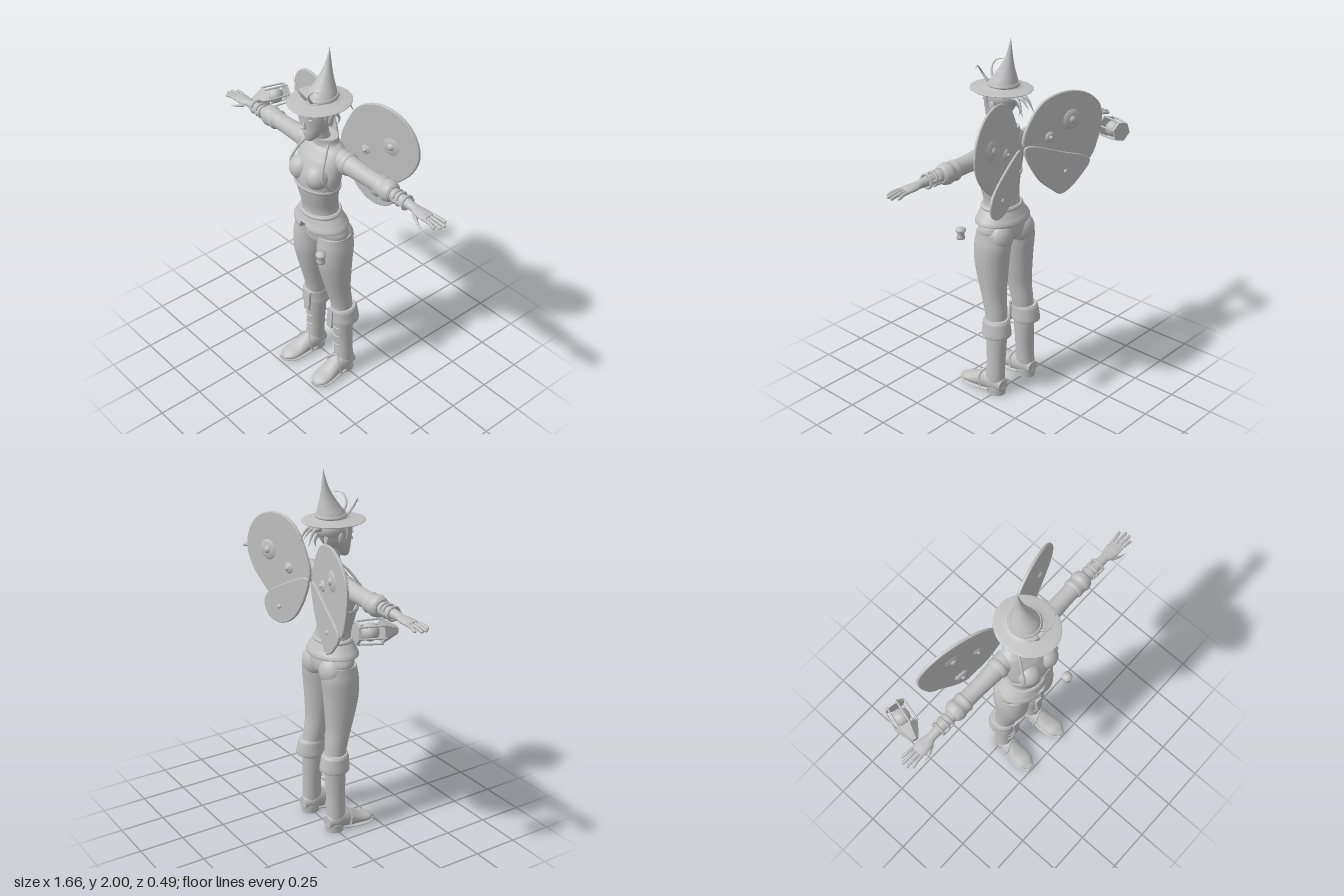
import * as THREE from 'three';

const grey = new THREE.MeshStandardMaterial({ color: 0xc0c0c0 });
grey.name = 'plain grey';
const V = (x, y, z) => new THREE.Vector3(x, y, z);

// Loft of elliptical rings [t, c0, c1, r0, r1] along an axis, smoothed between rings, flat caps
function loft(axis, rings, seg = 28, sub = 4) {
  const n = rings.length, fine = [];
  for (let i = 0; i < n - 1; i++) {
    for (let k = 0; k < sub; k++) {
      const u = k / sub, a = rings[Math.max(i - 1, 0)], b = rings[i], c = rings[i + 1], d = rings[Math.min(i + 2, n - 1)];
      fine.push(b.map((p, j) => j === 0 ? p + (c[0] - p) * u
        : 0.5 * (2 * p + (c[j] - a[j]) * u + (2 * a[j] - 5 * p + 4 * c[j] - d[j]) * u * u + (3 * p - a[j] - 3 * c[j] + d[j]) * u ** 3)));
    }
  }
  fine.push(rings[n - 1]);
  const pos = [], idx = [];
  const put = (t, a, b) => pos.push(...(axis === 'y' ? [a, t, b] : axis === 'x' ? [t, b, a] : [b, a, t]));
  const ring = ([t, c0, c1, r0, r1]) => {
    for (let s = 0; s < seg; s++) {
      const q = s / seg * Math.PI * 2;
      put(t, c0 + r0 * Math.cos(q), c1 + r1 * Math.sin(q));
    }
  };
  fine.forEach(ring);
  for (let i = 0; i < fine.length - 1; i++) for (let s = 0; s < seg; s++) {
    const a = i * seg + s, b = i * seg + (s + 1) % seg;
    idx.push(a, a + seg, b, b, a + seg, b + seg);
  }
  [fine[0], fine[fine.length - 1]].forEach((r, top) => {
    const base = pos.length / 3;
    ring(r);
    put(r[0], r[1], r[2]);
    for (let s = 0; s < seg; s++) {
      const a = base + s, b = base + (s + 1) % seg;
      idx.push(base + seg, ...(top ? [b, a] : [a, b]));
    }
  });
  const g = new THREE.BufferGeometry();
  g.setAttribute('position', new THREE.Float32BufferAttribute(pos, 3));
  g.setIndex(idx);
  g.computeVertexNormals();
  return g;
}

const ball = (x, y, z, rx, ry = rx, rz = rx) => new THREE.SphereGeometry(1, 24, 16).scale(rx, ry, rz).translate(x, y, z);
const tube = (r, ...pts) => new THREE.TubeGeometry(new THREE.CatmullRomCurve3(pts), 16, r, 8);

// Tube that narrows to a point, for hair and feelers
function taper(r, ...pts) {
  const g = tube(r, ...pts), p = g.attributes.position, curve = g.parameters.path;
  for (let i = 0; i < p.count; i++) {
    const u = Math.floor(i / 9) / 16, c = curve.getPointAt(u);
    p.setXYZ(i, ...V(p.getX(i), p.getY(i), p.getZ(i)).lerp(c, u * 0.95).toArray());
  }
  g.computeVertexNormals();
  return g;
}

function mirrored(geo) {
  const g = geo.clone().scale(-1, 1, 1);
  const ix = g.index ? Array.from(g.index.array) : Array.from({ length: g.attributes.position.count }, (_, i) => i);
  for (let i = 0; i < ix.length; i += 3) [ix[i + 1], ix[i + 2]] = [ix[i + 2], ix[i + 1]];
  g.setIndex(ix);
  return g;
}

export function createModel() {
  const root = new THREE.Group();
  const add = (name, geo, parent = root) => {
    const m = new THREE.Mesh(geo, grey);
    m.name = name;
    parent.add(m);
    return m;
  };
  const pair = (name, geo) => { add(name + 'Left', geo); add(name + 'Right', mirrored(geo)); };

  // Torso, corset edges and flared jacket hem
  add('torso', loft('y', [[1.07, 0, .065, .112, .093], [1.13, 0, .07, .104, .088], [1.2, 0, .08, .117, .093], [1.27, 0, .085, .135, .1],
    [1.34, 0, .08, .145, .102], [1.42, 0, .055, .142, .09], [1.47, 0, .035, .13, .072], [1.5, 0, .028, .085, .055], [1.52, 0, .028, .058, .045]], 40));
  pair('bust', ball(.063, 1.345, .133, .066, .07, .07));
  add('corsetEdge', loft('y', [[1.255, 0, .084, .136, .102], [1.265, 0, .085, .141, .107], [1.275, 0, .085, .139, .104]], 40));
  const hem = loft('y', [[1.0, 0, .062, .165, .122], [1.02, 0, .062, .17, .125], [1.05, 0, .064, .15, .112], [1.1, 0, .068, .113, .095]], 64);
  const hp = hem.attributes.position;
  for (let i = 0; i < hp.count; i++) {
    const x = hp.getX(i), z = hp.getZ(i);
    if (z > .1 && Math.abs(x) < .018 && hp.getY(i) < 1.05) hp.setY(i, 1.05); // front notch
    else if (hp.getY(i) < 1.01) hp.setY(i, 1.0 + Math.abs(x) * .1);
  }
  hem.computeVertexNormals();
  add('jacketHem', hem);
  add('belt', loft('y', [[1.085, 0, .067, .122, .102], [1.095, 0, .067, .124, .104], [1.105, 0, .067, .116, .098]], 40));
  add('collar', loft('y', [[1.485, 0, .03, .105, .062], [1.5, 0, .032, .085, .06], [1.53, 0, .035, .078, .06]], 32));
  pair('lapel', tube(.007, V(.07, 1.51, .075), V(.1, 1.45, .122), V(.125, 1.36, .16), V(.143, 1.28, .1)));

  // Hips and legs
  add('hips', loft('y', [[.89, 0, .055, .05, .05], [.92, 0, .05, .13, .09], [.97, 0, .048, .172, .1], [1.02, 0, .055, .158, .1], [1.07, 0, .06, .125, .09]], 36));
  pair('buttock', ball(.085, .94, .005, .078, .085, .068));
  pair('leg', loft('y', [[.36, .113, .007, .05, .055], [.42, .112, .008, .055, .058], [.5, .107, .015, .061, .061], [.6, .103, .033, .068, .069],
    [.7, .1, .045, .079, .085], [.8, .098, .052, .088, .099], [.9, .096, .047, .09, .104], [.97, .09, .047, .085, .095]]));

  // Boots: turned-down cuff, shaft, foot, sole and heel
  pair('bootCuff', loft('y', [[.365, .12, .002, .066, .07], [.375, .12, 0, .077, .084], [.42, .119, .001, .073, .08], [.455, .118, .004, .07, .076], [.468, .117, .005, .064, .068]]));
  pair('cuffTab', new THREE.BoxGeometry(.04, .12, .014).rotateX(-.08).translate(.098, .4, .084));
  pair('bootShaft', loft('y', [[.04, .125, .004, .048, .055], [.1, .125, .008, .05, .056], [.2, .12, .006, .05, .053], [.3, .115, .007, .053, .058], [.4, .113, .007, .055, .06]]));
  const foot = loft('z', [[-.052, .06, .125, .035, .036], [0, .07, .125, .06, .052], [.05, .068, .126, .062, .053], [.1, .055, .13, .05, .053],
    [.15, .043, .134, .033, .056], [.2, .036, .138, .024, .05], [.24, .03, .14, .01, .02]]);
  pair('bootFoot', foot);
  pair('bootSole', loft('z', [[.03, .02, .126, .014, .048], [.08, .012, .128, .012, .05], [.14, .012, .133, .011, .057], [.2, .014, .138, .011, .052], [.243, .022, .14, .009, .024]]));
  pair('bootHeel', loft('y', [[0, .125, 0, .047, .053], [.045, .125, 0, .05, .056]], 24, 1));
  pair('instepStrap', tube(.007, V(.072, .03, .07), V(.085, .1, .085), V(.127, .135, .066), V(.17, .1, .085), V(.182, .03, .07)));
  for (const y of [.21, .27, .33]) pair('bootLace', tube(.005, V(.09, y, .057), V(.116, y, .066), V(.143, y, .057)));

  // Sleeves, gathered cuffs, forearms and bracelets
  pair('sleeve', loft('x', [[.1, .025, 1.425, .055, .058], [.17, .025, 1.425, .052, .054], [.25, .024, 1.422, .047, .049], [.35, .022, 1.42, .044, .045], [.42, .02, 1.42, .047, .048]]));
  pair('armhole', loft('x', [[.145, .027, 1.425, .052, .056], [.158, .027, 1.425, .058, .061], [.18, .025, 1.425, .056, .059], [.187, .025, 1.425, .05, .053]]));
  pair('sleeveCuff', loft('x', [[.385, .02, 1.418, .044, .045], [.4, .02, 1.417, .053, .054], [.43, .02, 1.416, .05, .05], [.455, .02, 1.417, .056, .057], [.485, .021, 1.417, .048, .05], [.495, .021, 1.417, .038, .04]]));
  pair('forearm', loft('x', [[.46, .022, 1.416, .034, .034], [.55, .023, 1.416, .03, .029], [.63, .024, 1.414, .024, .021], [.66, .024, 1.413, .027, .018]]));
  for (const x of [.52, .545, .585]) pair('bracelet', new THREE.TorusGeometry(.034, .007, 8, 24).rotateY(Math.PI / 2).translate(x, 1.416, .023));
  for (const z of [-.012, .058]) pair('braceletLink', new THREE.BoxGeometry(.08, .012, .012).translate(.553, 1.416, z));

  // Hands
  pair('palm', loft('x', [[.63, .024, 1.414, .023, .018], [.67, .025, 1.412, .034, .017], [.71, .026, 1.412, .038, .015], [.738, .026, 1.412, .034, .011]], 20));
  [[-.004, -.014, .8], [.016, .012, .822], [.036, .037, .82], [.053, .06, .8]].forEach(([z0, z1, x1]) => {
    pair('finger', tube(.0085, V(.72, 1.412, z0), V(.77, 1.412, (z0 + z1) / 2), V(x1, 1.405, z1)));
    pair('fingertip', ball(x1, 1.405, z1, .0085, .008, .008));
  });
  pair('thumb', taper(.014, V(.66, 1.405, .045), V(.7, 1.388, .068), V(.745, 1.372, .076)));

  // Neck, head and face
  add('neck', loft('y', [[1.48, 0, .03, .052, .048], [1.52, 0, .05, .044, .043], [1.57, 0, .065, .041, .042], [1.62, 0, .065, .045, .045]]));
  add('head', loft('y', [[1.535, 0, .133, .018, .018], [1.55, 0, .122, .033, .036], [1.58, 0, .102, .05, .06], [1.62, 0, .083, .066, .08],
    [1.66, 0, .074, .075, .093], [1.7, 0, .073, .078, .095], [1.75, 0, .072, .07, .085]], 36));
  add('nose', new THREE.ConeGeometry(.013, .05, 12).rotateX(-.2).translate(0, 1.638, .168));
  add('noseTip', ball(0, 1.618, .173, .012, .009, .013));
  add('upperLip', ball(0, 1.589, .156, .019, .005, .008));
  add('lowerLip', ball(0, 1.579, .153, .016, .006, .008));
  pair('eye', ball(.031, 1.665, .154, .015, .008, .009));
  pair('brow', tube(.004, V(.012, 1.676, .167), V(.035, 1.688, .16), V(.056, 1.684, .142)));
  pair('ear', ball(.078, 1.65, .062, .008, .03, .017).rotateZ(0));

  // Hair: back cap, side locks and swept tufts
  add('hairCap', ball(0, 1.695, .052, .082, .07, .086));
  pair('sideLock', taper(.012, V(.072, 1.73, .09), V(.08, 1.68, .098), V(.077, 1.63, .09)));
  for (const x of [-.03, 0, .03]) add('hairTuft', taper(.016, V(x * .6, 1.7, -.015), V(x, 1.7, -.07), V(x * 1.5, 1.655 - Math.abs(x), -.115)));
  pair('napeTuft', taper(.014, V(.04, 1.66, .0), V(.05, 1.62, -.015), V(.045, 1.585, -.01)));

  // Pointed hat with wide brim, band and two feelers
  add('hatBrim', loft('y', [[1.722, 0, .067, .12, .135], [1.727, 0, .067, .148, .165], [1.734, 0, .067, .148, .165], [1.742, 0, .062, .1, .11], [1.75, 0, .055, .078, .085]], 40));
  add('hatCrown', loft('y', [[1.735, 0, .053, .078, .082], [1.77, 0, .05, .071, .075], [1.81, 0, .038, .052, .057], [1.85, 0, .027, .035, .039], [1.9, 0, .015, .019, .021], [1.95, 0, .008, .009, .01], [2, 0, .004, .001, .001]], 32));
  add('hatBand', loft('y', [[1.748, 0, .053, .079, .083], [1.756, 0, .052, .082, .086], [1.768, 0, .05, .077, .081]], 32));
  pair('feeler', taper(.008, V(.02, 1.75, .135), V(.035, 1.8, .168), V(.07, 1.842, .165), V(.125, 1.838, .13)));

  // Wings: thin plates swept back, each with round raised spots
  const wing = (name, outline, dz) => {
    const pts = new THREE.CatmullRomCurve3(outline.map(([x, y]) => V(x, y, 0)), true, 'centripetal').getPoints(72).slice(0, -1);
    const g = new THREE.ExtrudeGeometry(new THREE.Shape(pts), { depth: .01, bevelEnabled: true, bevelThickness: .003, bevelSize: .004, bevelSegments: 1 });
    const p = g.attributes.position;
    for (let i = 0; i < p.count; i++) p.setZ(i, p.getZ(i) + dz - .065 - .25 * Math.abs(p.getX(i)));
    g.computeVertexNormals();
    add(name, g);
  };
  wing('upperWingLeft', [[.02, 1.44], [.06, 1.6], [.13, 1.7], [.24, 1.738], [.36, 1.705], [.435, 1.62], [.458, 1.52], [.43, 1.43], [.37, 1.355], [.28, 1.29], [.13, 1.35]], 0);
  wing('lowerWingLeft', [[.02, 1.43], [.18, 1.37], [.3, 1.29], [.325, 1.23], [.29, 1.165], [.2, 1.15], [.1, 1.22]], -.012);
  wing('upperWingRight', [[-.02, 1.44], [-.06, 1.57], [-.14, 1.655], [-.27, 1.685], [-.4, 1.655], [-.485, 1.58], [-.502, 1.5], [-.48, 1.38], [-.42, 1.28], [-.2, 1.35]], 0);
  wing('lowerWingRight', [[-.02, 1.43], [-.25, 1.36], [-.42, 1.28], [-.36, 1.2], [-.29, 1.145], [-.24, 1.13], [-.19, 1.165], [-.1, 1.25]], -.012);
  for (const [x, y, r] of [[.305, 1.53, .058], [.16, 1.46, .032], [.22, 1.235, .04], [-.31, 1.53, .058], [-.175, 1.46, .032], [-.27, 1.25, .04]]) {
    const spot = new THREE.Group();
    spot.name = 'wingSpot';
    spot.position.set(x, y, -.062 - .25 * Math.abs(x));
    spot.rotation.y = Math.sign(x) * .245;
    add('spotDome', ball(0, 0, 0, r, r, .017), spot);
    add('spotCentre', ball(0, 0, 0, r * .42, r * .42, .027), spot);
    root.add(spot);
  }

  // Lantern hanging beside the right hand
  const lantern = new THREE.Group();
  lantern.name = 'lantern';
  const cyl = (rt, rb, h, y) => new THREE.CylinderGeometry(rt, rb, h, 6).toNonIndexed().translate(0, y, 0);
  const flat = g => { g.computeVertexNormals(); return g; };
  add('lanternBase', flat(cyl(.056, .056, .014, .1)), lantern);
  add('lanternRoof', flat(cyl(.062, .03, .06, -.05)), lantern);
  add('lanternCap', flat(cyl(.03, .018, .02, -.09)), lantern);
  add('lanternGlobe', ball(0, .035, 0, .044), lantern);
  for (let i = 0; i < 6; i++) {
    const a = i * Math.PI / 3, c = Math.sin(a), s = Math.cos(a);
    add('lanternBar', tube(.005, V(.06 * c, -.03, .06 * s), V(.055 * c, .1, .055 * s)), lantern);
  }
  lantern.position.set(-.665, 1.385, -.128);
  lantern.quaternion.setFromUnitVectors(V(0, 1, 0), V(.27, .04, -.96).normalize());
  root.add(lantern);

  // Small spool-shaped bottle at the left hip
  const profile = [[0, 0], [.023, 0], [.024, .01], [.021, .014], [.021, .04], [.028, .044], [.028, .054], [.014, .064], [0, .066]];
  add('bottle', new THREE.LatheGeometry(profile.map(([x, y]) => new THREE.Vector2(x, y)), 20).translate(.17, .9, .21));

  return root;
}
